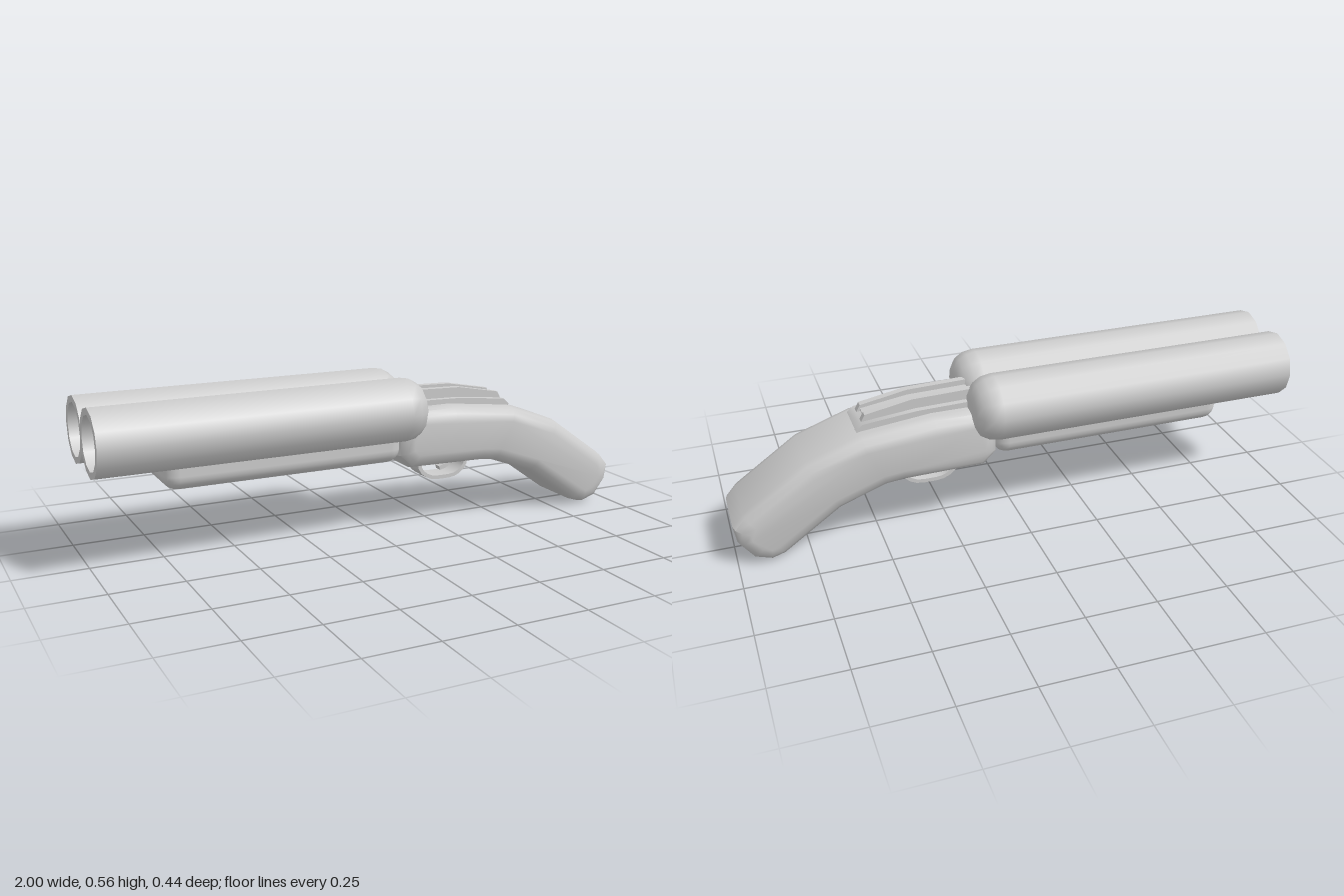
import * as THREE from 'three';
import { toCreasedNormals } from 'three/addons/utils/BufferGeometryUtils.js';
import { RoundedBoxGeometry } from 'three/addons/geometries/RoundedBoxGeometry.js';

const material = new THREE.MeshStandardMaterial({ color: 0xcccccc });

const vectors = (points) => points.map(([x, y]) => new THREE.Vector2(x, y));

function addMesh(parent, name, geometry, z = 0) {
  const mesh = new THREE.Mesh(geometry, material);
  mesh.name = name;
  mesh.position.z = z;
  parent.add(mesh);
  return mesh;
}

// Side profile in x/y, extruded to a total width and centred on z = 0
function slab(points, width, bevel = 0) {
  const geometry = new THREE.ExtrudeGeometry(new THREE.Shape(vectors(points)), {
    depth: width - 2 * bevel,
    bevelEnabled: bevel > 0,
    bevelSize: bevel,
    bevelThickness: bevel,
    bevelSegments: 3,
  });
  geometry.translate(0, 0, bevel - width / 2);
  return toCreasedNormals(geometry, 0.75);
}

// Constant-thickness band following a smooth curve in x/y
function band(points, thickness, width) {
  const curve = new THREE.CatmullRomCurve3(points.map(([x, y]) => new THREE.Vector3(x, y, 0)));
  const outer = [], inner = [], steps = 14;
  for (let i = 0; i <= steps; i++) {
    const p = curve.getPoint(i / steps), t = curve.getTangent(i / steps);
    const dx = -t.y * thickness / 2, dy = t.x * thickness / 2;
    outer.push([p.x - dx, p.y - dy]);
    inner.unshift([p.x + dx, p.y + dy]);
  }
  return slab([...outer, ...inner], width);
}

export function createModel() {
  const model = new THREE.Group();
  model.name = 'doubleBarrelGun';

  // Hollow barrels with a rounded breech; doubled points keep the muzzle edges sharp
  const barrel = new THREE.LatheGeometry(vectors([
    [0, -0.1], [0.092, -0.1], [0.092, -0.1], [0.092, -1], [0.092, -1],
    [0.115, -1], [0.115, -1], [0.115, 0.085], [0.109, 0.12], [0.092, 0.15], [0.062, 0.168], [0.04, 0.172], [0, 0.172],
  ]), 12);
  barrel.rotateZ(-Math.PI / 2);
  for (const side of [1, -1]) {
    const mesh = addMesh(model, side > 0 ? 'frontBarrel' : 'backBarrel', barrel, side * 0.104);
    mesh.position.y = 0.441;
  }

  // Fore-end under the barrels
  const foreEnd = new RoundedBoxGeometry(0.86, 0.16, 0.27, 3, 0.05);
  foreEnd.translate(-0.34, 0.335, 0);
  addMesh(model, 'foreEnd', foreEnd);

  // Curved stock: core profile, rounded outward by the bevel
  addMesh(model, 'stock', slab([
    [0.13, 0.295], [0.15, 0.275], [0.42, 0.27], [0.49, 0.262], [0.66, 0.2],
    [0.86, 0.058], [0.885, 0.05], [0.915, 0.06], [0.945, 0.1], [0.949, 0.125], [0.93, 0.147],
    [0.72, 0.295], [0.54, 0.36], [0.3, 0.387], [0.155, 0.387], [0.13, 0.365],
  ], 0.286, 0.05));

  // Stepped top plate with two rails and a groove between them
  const topPlate = new THREE.Group();
  topPlate.name = 'topPlate';
  model.add(topPlate);
  addMesh(topPlate, 'plateBase', slab([
    [0.15, 0.4], [0.5, 0.38], [0.555, 0.39], [0.562, 0.413], [0.54, 0.433], [0.35, 0.453], [0.15, 0.458],
  ], 0.144));
  addMesh(topPlate, 'grooveFloor', slab([
    [0.15, 0.42], [0.52, 0.41], [0.525, 0.445], [0.36, 0.47], [0.15, 0.475],
  ], 0.05));
  const rail = slab([
    [0.15, 0.42], [0.52, 0.41], [0.54, 0.43], [0.525, 0.457], [0.36, 0.488], [0.15, 0.494],
  ], 0.025);
  for (const side of [1, -1]) addMesh(topPlate, 'rail', rail, side * 0.0375);

  // Trigger guard and trigger
  addMesh(model, 'triggerGuard', band([
    [0.205, 0.24], [0.212, 0.19], [0.25, 0.16], [0.305, 0.154], [0.36, 0.16], [0.396, 0.19], [0.403, 0.24],
  ], 0.014, 0.08));
  addMesh(model, 'trigger', band([
    [0.34, 0.24], [0.35, 0.215], [0.338, 0.193], [0.305, 0.18],
  ], 0.016, 0.03));

  return model;
}
